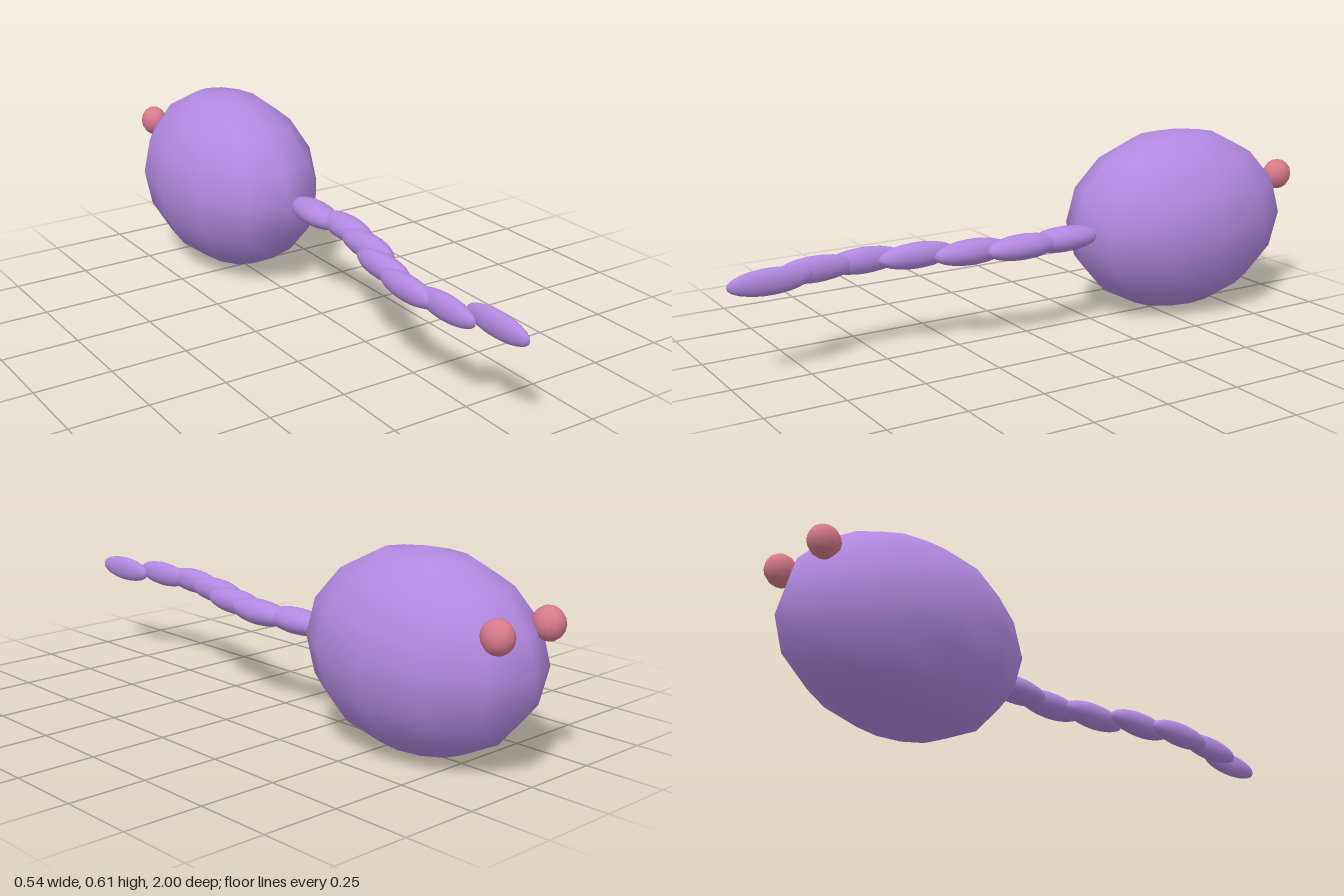
import * as THREE from 'three';

export function createModel() {
  const model = new THREE.Group();
  const purple = new THREE.MeshStandardMaterial({ color: 0xb388e0 });
  purple.name = 'purple';
  const pink = new THREE.MeshStandardMaterial({ color: 0xd87a8c });
  pink.name = 'pink';

  // A sphere stretched to the given radii
  function ellipsoid(name, material, radii, position, sides, rings) {
    const geometry = new THREE.SphereGeometry(1, sides, rings).scale(...radii);
    const mesh = new THREE.Mesh(geometry, material);
    mesh.name = name;
    mesh.position.set(...position);
    model.add(mesh);
  }

  // Egg-shaped body, low-poly outline with smooth normals
  ellipsoid('body', purple, [0.268, 0.305, 0.405], [0, 0.306, -0.592], 12, 8);

  // Pair of eyes at the far end
  for (const side of [-1, 1]) {
    ellipsoid(side > 0 ? 'leftEye' : 'rightEye', pink,
      [0.044, 0.051, 0.051], [side * 0.109, 0.435, -0.95], 12, 8);
  }

  // Waving tail of overlapping links, counted from the tip, widening to the body
  for (let k = 0; k < 7; k++) {
    ellipsoid('tailLink' + (k + 1), purple,
      [0.024 + k * 0.0043, 0.041, 0.131],
      [-0.063 * Math.sin(k * 0.9), 0.306, 0.867 - k * 0.163], 16, 12);
  }

  return model;
}
